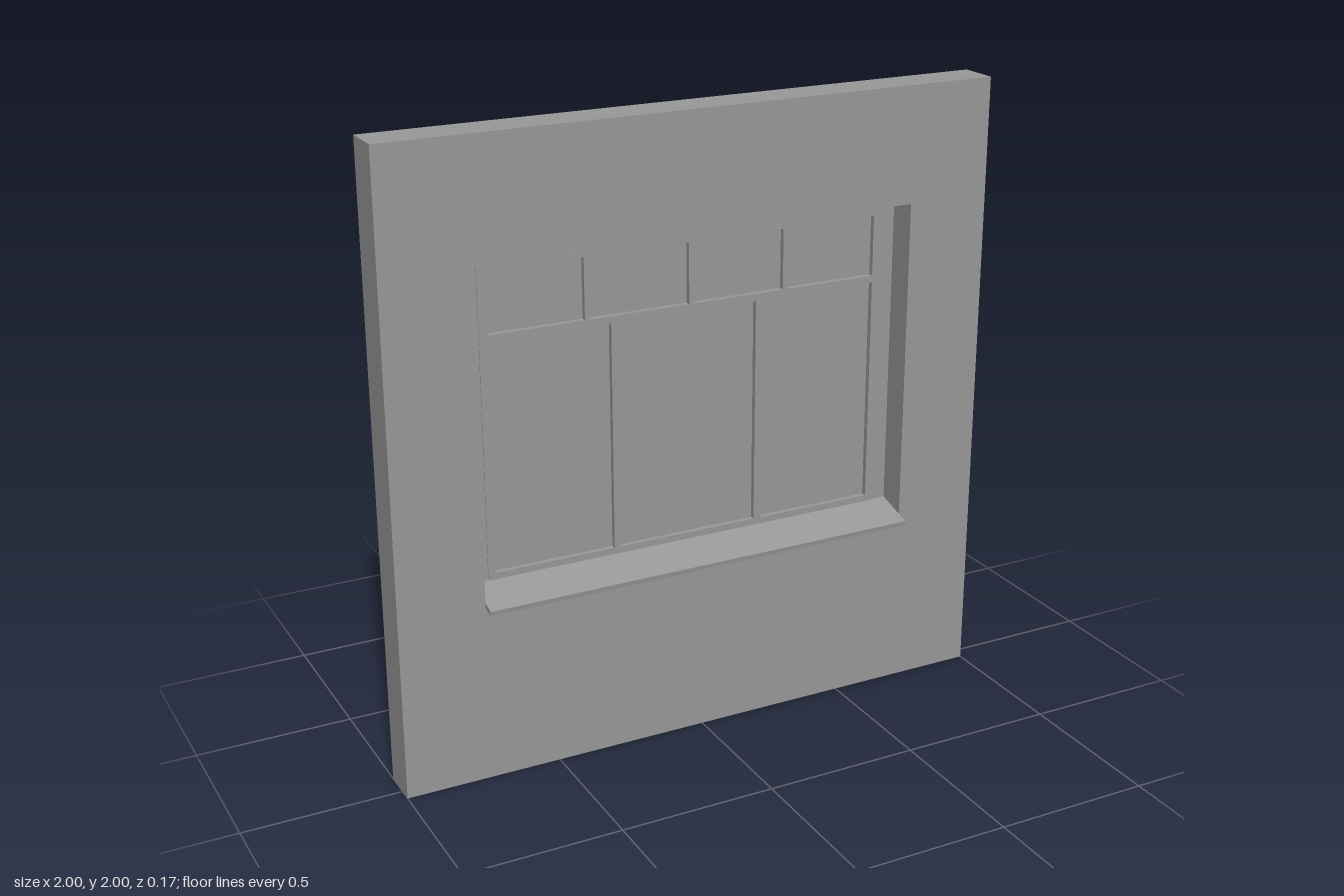
import * as THREE from 'three';

const BACK = -0.085, FRONT = 0.045;
const GLASS = -0.064, FRAME = -0.05, SASH = -0.047;
const OPEN = [-0.725, 0.575, 0.725, 1.63]; // x0, y0, x1, y1

// Traces a rectangle on a Shape or Path
function rect(path, [x0, y0, x1, y1]) {
  path.moveTo(x0, y0);
  path.lineTo(x1, y0);
  path.lineTo(x1, y1);
  path.lineTo(x0, y1);
  path.closePath();
  return path;
}

// A flat plate between two depths with rectangular openings
function plate(name, outer, holes, z0, z1, material) {
  const shape = rect(new THREE.Shape(), outer);
  holes.forEach((h) => shape.holes.push(rect(new THREE.Path(), h)));
  const geometry = new THREE.ExtrudeGeometry(shape, { depth: z1 - z0, bevelEnabled: false });
  geometry.translate(0, 0, z0);
  const mesh = new THREE.Mesh(geometry, material);
  mesh.name = name;
  return mesh;
}

export function createModel() {
  const group = new THREE.Group();
  group.name = 'windowWall';
  const grey = new THREE.MeshStandardMaterial({ color: 0x999999 });
  grey.name = 'plainGrey';

  // Wall with the window opening
  group.add(plate('wall', [-1, 0, 1, 2], [OPEN], BACK, FRONT, grey));

  // Closed panel behind the frame, showing as the panes
  group.add(plate('glazing', OPEN, [], BACK, GLASS, grey));

  // Fixed outer frame
  const sashOuter = [-0.677, 0.6, 0.675, 1.595];
  group.add(plate('outerFrame', OPEN, [sashOuter], GLASS, FRAME, grey));

  // Sash: four small lights above three tall ones
  const upper = [[-0.652, -0.343], [-0.33, 0.002], [0.016, 0.326], [0.342, 0.65]];
  const lower = [[-0.652, -0.258], [-0.235, 0.232], [0.257, 0.65]];
  const panes = [
    ...upper.map(([a, b]) => [a, 1.386, b, 1.579]),
    ...lower.map(([a, b]) => [a, 0.635, b, 1.363]),
  ];
  group.add(plate('sash', sashOuter, panes, GLASS, SASH, grey));

  // Sloping sill: side profile (z, y) swept along x
  const profile = [[-0.05, 0.615], [0.085, 0.578], [0.083, 0.563], [-0.05, 0.6]];
  const shape = new THREE.Shape(profile.map(([z, y]) => new THREE.Vector2(-z, y)));
  const sillGeometry = new THREE.ExtrudeGeometry(shape, { depth: 1.45, bevelEnabled: false });
  sillGeometry.translate(0, 0, -0.725).rotateY(Math.PI / 2);
  const sill = new THREE.Mesh(sillGeometry, grey);
  sill.name = 'sill';
  group.add(sill);

  return group;
}
